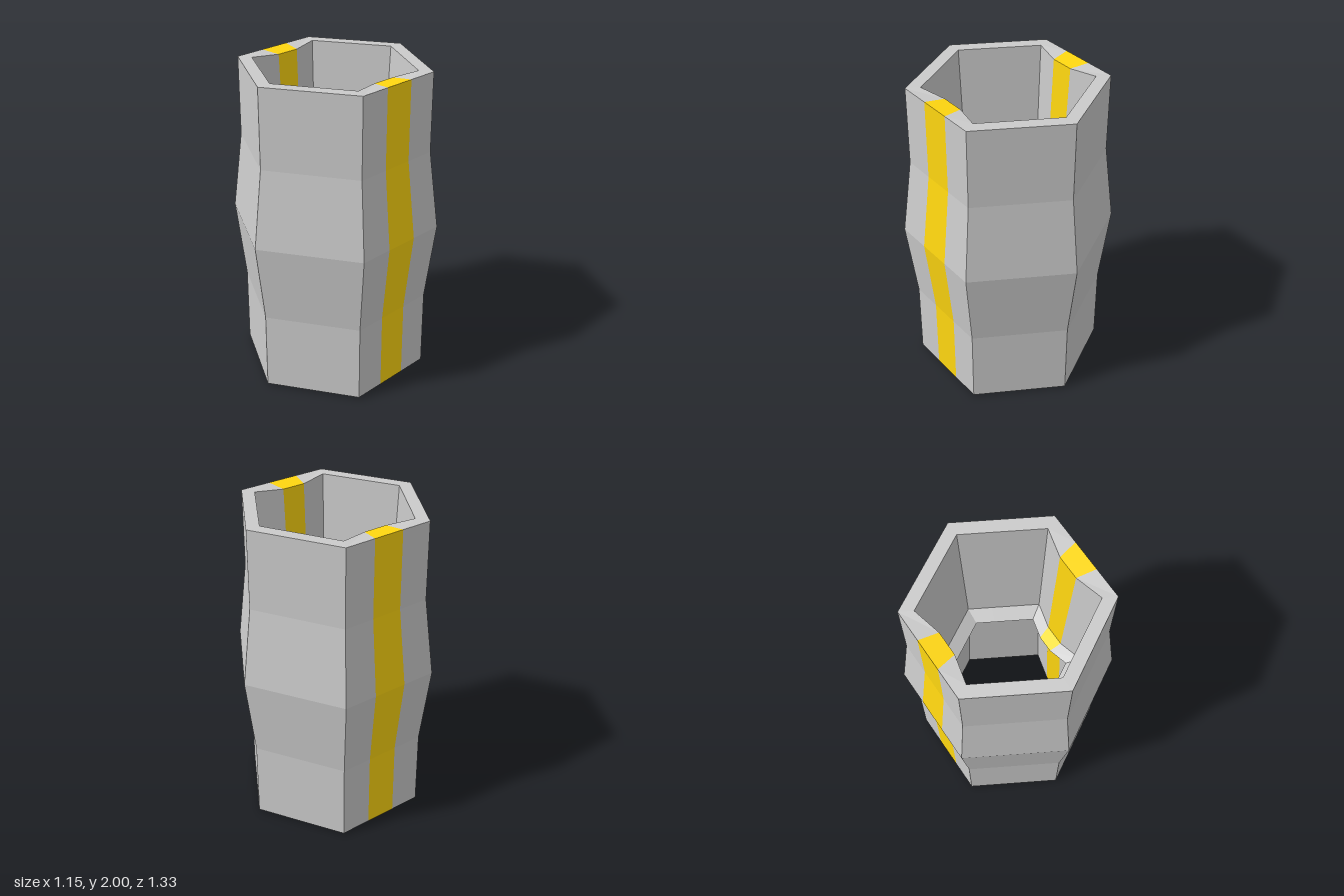
import * as THREE from 'three';

// Closed wall section: [radius, height, isInner], up the outside and down the bore
const SECTION = [
  [0.6, 0.01, false], [0.6, 0.505, false], [0.663, 1.005, false], [0.6, 1.5, false], [0.6, 2, false],
  [0.51, 2, true], [0.457, 1.06, true], [0.366, 1.005, true], [0.457, 0.95, true], [0.51, 0.01, true],
];
const SIDES = 6, PARTS = 3, COLUMNS = SIDES * PARTS;
const isStripedSide = (side) => side % 3 === 0;

// Point on a hexagonal ring; each side is split into thirds
function ringPoint([radius, y, inner], column) {
  const k = column % COLUMNS, side = Math.floor(k / PARTS), part = k % PARTS;
  const corner = (i) => {
    const a = (i * Math.PI * 2) / SIDES;
    return new THREE.Vector3(Math.sin(a) * radius, y, Math.cos(a) * radius);
  };
  const p = corner(side).lerp(corner(side + 1), part / PARTS);
  // The bore swells inward behind the stripes
  if (inner && part > 0 && isStripedSide(side)) {
    p.x *= 0.9;
    p.z *= 0.9;
    p.y -= 0.01;
  }
  return p;
}

// Sweep the section across the chosen columns
function wallGeometry(columns) {
  const points = [];
  for (const k of columns) {
    SECTION.forEach((row, j) => {
      const next = SECTION[(j + 1) % SECTION.length];
      const a = ringPoint(row, k), b = ringPoint(row, k + 1);
      const c = ringPoint(next, k + 1), d = ringPoint(next, k);
      points.push(a, b, c, a, c, d);
    });
  }
  const geometry = new THREE.BufferGeometry().setFromPoints(points);
  geometry.computeVertexNormals();
  return geometry;
}

export function createModel() {
  const group = new THREE.Group();
  group.name = 'hexagonalTube';
  const all = Array.from({ length: COLUMNS }, (_, k) => k);
  const isStripe = (k) => k % PARTS === 1 && isStripedSide(Math.floor(k / PARTS));

  const addPart = (name, columns, color) => {
    const material = new THREE.MeshStandardMaterial({ color, flatShading: true });
    const mesh = new THREE.Mesh(wallGeometry(columns), material);
    mesh.name = name;
    group.add(mesh);
  };

  // Grey hexagonal wall
  addPart('tubeWall', all.filter((k) => !isStripe(k)), 0xcccccc);
  // Two opposite yellow stripes running through the wall
  all.filter(isStripe).forEach((k, i) => addPart(i ? 'backStripe' : 'frontStripe', [k], 0xffd710));
  return group;
}
